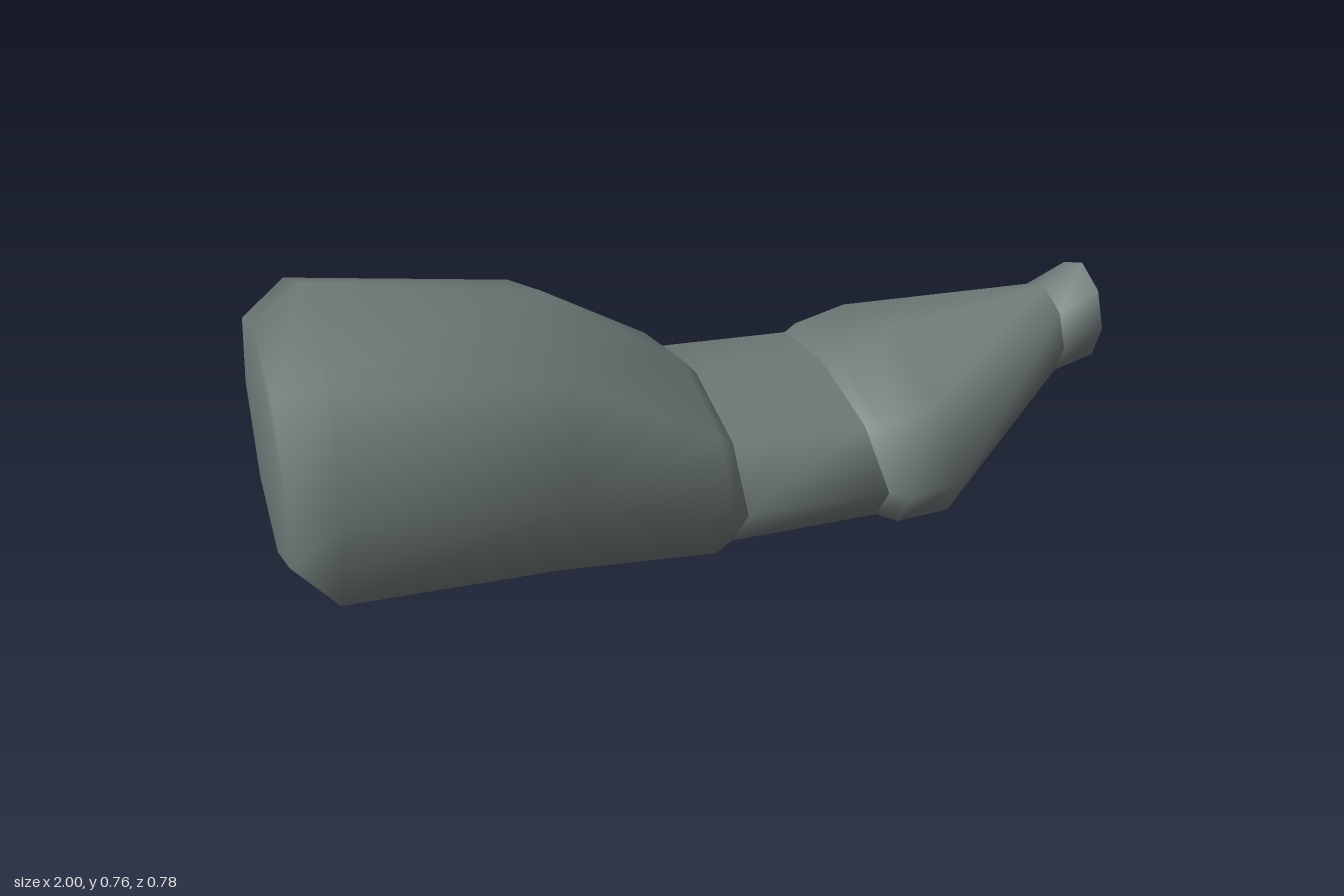
import * as THREE from 'three';

const SIDES = 8;

// Skin a row of octagonal rings: [topX, topY, bottomX, bottomY, halfWidth]
function loft(name, rings, material, capStart = false) {
  const pos = [], index = [];
  for (const [tx, ty, bx, by, w] of rings) {
    for (let j = 0; j < SIDES; j++) {
      const a = (j / SIDES) * Math.PI * 2, c = Math.cos(a) / 2;
      pos.push((tx + bx) / 2 + c * (tx - bx), (ty + by) / 2 + c * (ty - by), w * Math.sin(a));
    }
  }
  for (let i = 0; i < rings.length - 1; i++) {
    for (let j = 0; j < SIDES; j++) {
      const a = i * SIDES + j, b = i * SIDES + (j + 1) % SIDES;
      index.push(a, b, a + SIDES, b, b + SIDES, a + SIDES);
    }
  }
  if (capStart) for (let j = 1; j < SIDES - 1; j++) index.push(0, j + 1, j);
  const g = new THREE.BufferGeometry();
  g.setAttribute('position', new THREE.Float32BufferAttribute(pos, 3));
  g.setIndex(index);
  g.computeVertexNormals();
  const mesh = new THREE.Mesh(g, material);
  mesh.name = name;
  return mesh;
}

export function createModel() {
  const group = new THREE.Group();
  group.name = 'bentVessel';
  const shell = new THREE.MeshStandardMaterial({ color: 0x707c7a });
  shell.name = 'greyGreen';
  const dark = new THREE.MeshStandardMaterial({ color: 0x222222 });
  dark.name = 'darkBore';

  // ring shared by neighbouring parts
  const waist = [0, 0.385, 0, 0.02, 0.358];
  const collar = [0.315, 0.365, 0.37, 0.02, 0.358];
  const nozzleRoot = [0.9, 0.465, 0.9, 0.245, 0.122];
  const rimOuter = [1, 0.513, 1, 0.268, 0.122];
  const rimInner = [1, 0.48, 1, 0.298, 0.092];
  const boreEnd = [0.91, 0.437, 0.91, 0.295, 0.082];

  // large closed rear body
  group.add(loft('rearBody', [
    [-1, 0.68, -1, 0.1, 0.29],
    [-0.89, 0.757, -0.91, 0, 0.389],
    [-0.365, 0.655, -0.42, 0, 0.389],
    [-0.035, 0.425, -0.05, 0, 0.389],
    waist,
  ], shell, true));

  // narrow middle sleeve
  group.add(loft('middleSleeve', [waist, collar], shell));

  // front body tapering up to the nozzle
  group.add(loft('frontBody', [
    collar,
    [0.35, 0.378, 0.415, 0, 0.389],
    [0.48, 0.415, 0.545, 0, 0.389],
    nozzleRoot,
  ], shell));

  // nozzle wall, rim and hollow bore
  group.add(loft('nozzle', [nozzleRoot, rimOuter], shell));
  group.add(loft('nozzleRim', [rimOuter, rimInner], shell));
  group.add(loft('nozzleBore', [rimInner, boreEnd], shell));

  // dark floor of the bore, facing outward
  const floor = new THREE.Mesh(new THREE.CircleGeometry(1, SIDES), dark);
  floor.name = 'boreFloor';
  floor.scale.set(0.082, 0.071, 1);
  floor.rotation.y = Math.PI / 2;
  floor.position.set(0.911, 0.366, 0);
  group.add(floor);

  return group;
}
